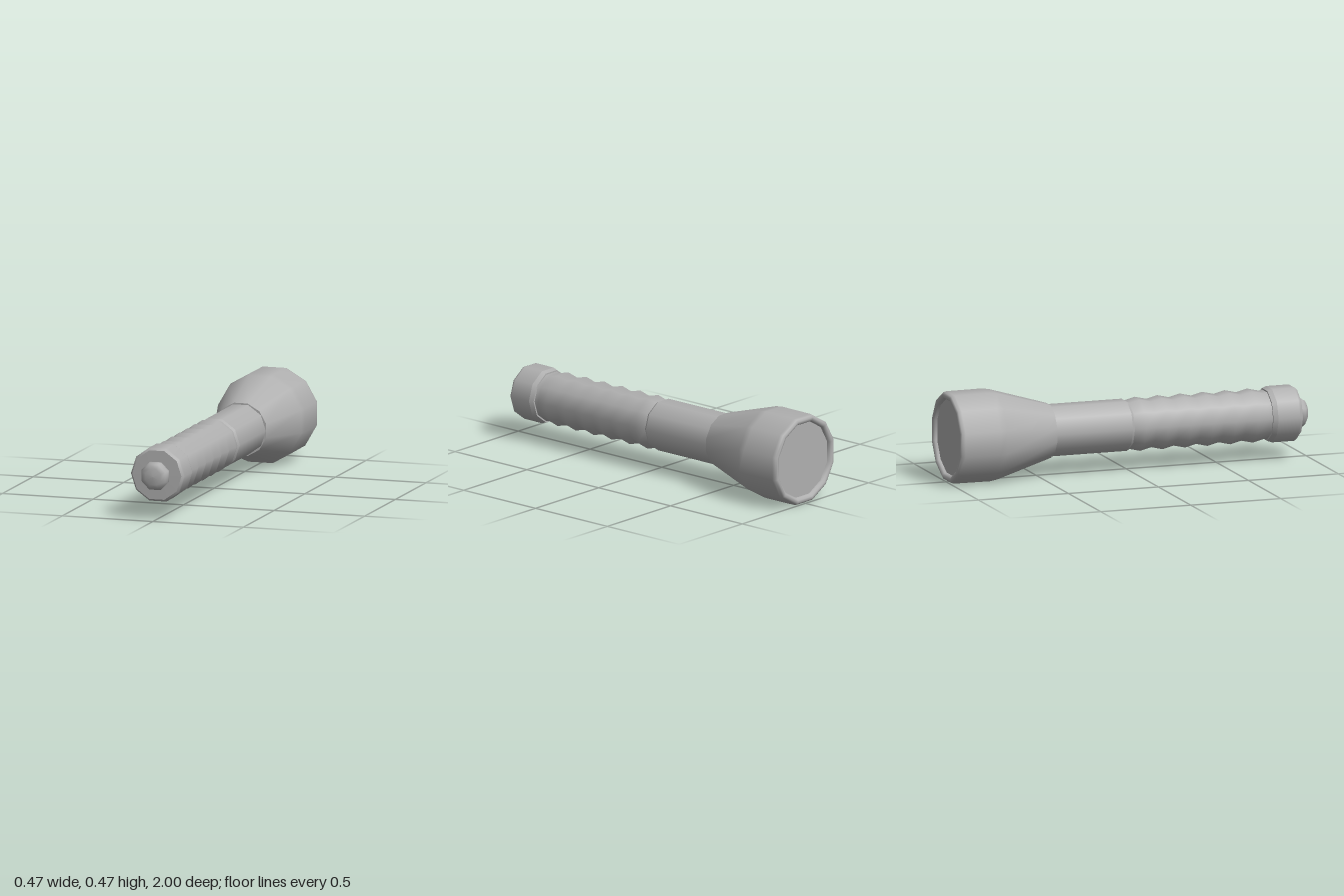
import * as THREE from 'three';

const AXIS_Y = 0.237; // height of the torch's long axis

// Faceted, smooth-shaded turned part along z. Profile: [radius, z], z rising on outer walls.
// A repeated point makes a sharp edge.
function turned(name, profile, sides, startDeg, material) {
  const points = profile.map(([r, z]) => new THREE.Vector2(r, z));
  const geometry = new THREE.LatheGeometry(points, sides, THREE.MathUtils.degToRad(startDeg));
  geometry.rotateX(Math.PI / 2);
  const mesh = new THREE.Mesh(geometry, material);
  mesh.name = name;
  mesh.position.y = AXIS_Y;
  return mesh;
}

export function createModel() {
  const grey = new THREE.MeshStandardMaterial({ color: 0xb0b0b0 });
  grey.name = 'grey';
  const group = new THREE.Group();
  group.name = 'flashlight';

  // Plain tube between head and grip
  group.add(turned('tube', [[0.138, -0.47], [0.138, -0.01], [0.138, -0.01], [0.128, 0.005]], 10, 18, grey));

  // Grip with six raised rings
  const grip = [[0.128, 0.0]];
  const pitch = 0.125;
  for (let i = 0; i < 6; i++) {
    const z = i * pitch;
    grip.push([0.143, z + pitch / 2], [0.128, z + pitch]);
  }
  grip.push([0.136, 0.79]);
  group.add(turned('grip', grip, 10, 18, grey));

  // End cap with softened edges
  group.add(turned('endCap', [
    [0.12, 0.77], [0.14, 0.77], [0.14, 0.77], [0.149, 0.795], [0.149, 0.795],
    [0.149, 0.915], [0.146, 0.925], [0.136, 0.935], [0.136, 0.935], [0, 0.938],
  ], 10, 18, grey));

  // Domed push button
  group.add(turned('button', [
    [0.07, 0.935], [0.078, 0.95], [0.078, 0.97], [0.068, 0.985], [0.045, 0.997], [0, 1.0],
  ], 8, 22.5, grey));

  // Flared head: recessed inner wall, rounded rim, bell and rear lip
  group.add(turned('head', [
    [0.204, -0.975], [0.207, -0.99], [0.216, -0.999], [0.228, -1.0], [0.239, -0.993],
    [0.243, -0.975], [0.244, -0.78], [0.238, -0.74], [0.145, -0.432], [0.145, -0.432], [0.12, -0.432],
  ], 12, 15, grey));

  // Flat lens facing the back
  const lens = new THREE.Mesh(new THREE.CircleGeometry(0.208, 12, Math.PI / 12), grey);
  lens.name = 'lens';
  lens.rotation.y = Math.PI;
  lens.position.set(0, AXIS_Y, -0.978);
  group.add(lens);

  return group;
}
